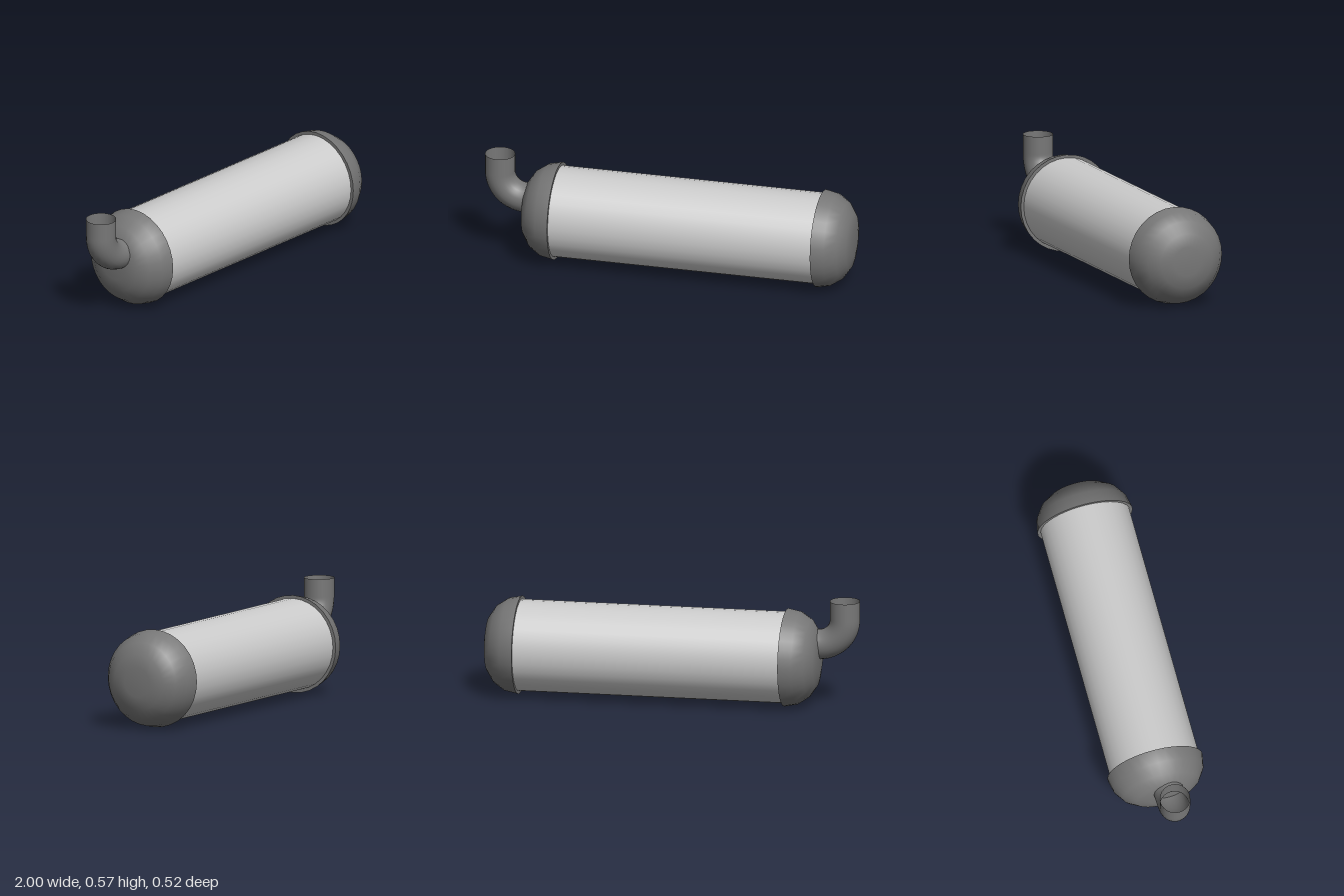
import * as THREE from 'three';

const AXIS_Y = 0.261, BODY_R = 0.243, CAP_R = 0.26, SEGS = 32;

const material = (color) => new THREE.MeshStandardMaterial({ color, side: THREE.DoubleSide });

function addMesh(parent, name, geometry, mat) {
  const mesh = new THREE.Mesh(geometry, mat);
  mesh.name = name;
  parent.add(mesh);
  return mesh;
}

// Rounded end cap: quarter-circle shoulder around a small flat end, opening at the origin
function makeCap(name, depth, mat) {
  const cap = new THREE.Group();
  cap.name = name;
  const profile = [];
  for (let i = 0; i <= 4; i++) {
    const a = (i / 4) * Math.PI / 2;
    profile.push(new THREE.Vector2(CAP_R - depth + depth * Math.cos(a), depth * Math.sin(a)));
  }
  profile.push(new THREE.Vector2(0, depth));
  addMesh(cap, name + 'Dome', new THREE.LatheGeometry(profile, SEGS), mat);

  // Flat lip between the cap edge and the body
  const lip = new THREE.RingGeometry(BODY_R - 0.003, CAP_R, SEGS);
  lip.rotateX(Math.PI / 2);
  addMesh(cap, name + 'Lip', lip, mat);
  return cap;
}

export function createModel() {
  const model = new THREE.Group();
  model.name = 'canister';
  const light = material(0xcccccc);
  const dark = material(0x777777);

  // Cylindrical body lying along x
  const x0 = -0.61, x1 = 0.817;
  const body = addMesh(model, 'body',
    new THREE.CylinderGeometry(BODY_R, BODY_R, x1 - x0 + 0.02, SEGS, 1, true), light);
  body.rotation.z = -Math.PI / 2;
  body.position.set((x0 + x1) / 2, AXIS_Y, 0);

  // End caps
  for (const [name, x, dir] of [['leftCap', x1, 1], ['rightCap', x0, -1]]) {
    const cap = makeCap(name, 0.182, dark);
    cap.rotation.z = -dir * Math.PI / 2;
    cap.position.set(x, AXIS_Y, 0);
    model.add(cap);
  }

  // Open outlet pipe: leaves the cap sideways, then bends upward
  const path = new THREE.CurvePath();
  const v = (x, y) => new THREE.Vector3(x, y, 0.027);
  const k = 0.14 * 0.5523;
  path.add(new THREE.LineCurve3(v(-0.72, 0.335), v(-0.78, 0.335)));
  path.add(new THREE.CubicBezierCurve3(
    v(-0.78, 0.335), v(-0.78 - k, 0.335), v(-0.92, 0.475 - k), v(-0.92, 0.475)));
  path.add(new THREE.LineCurve3(v(-0.92, 0.475), v(-0.92, 0.575)));
  addMesh(model, 'outletPipe', new THREE.TubeGeometry(path, 28, 0.08, 24, false), dark);

  return model;
}
